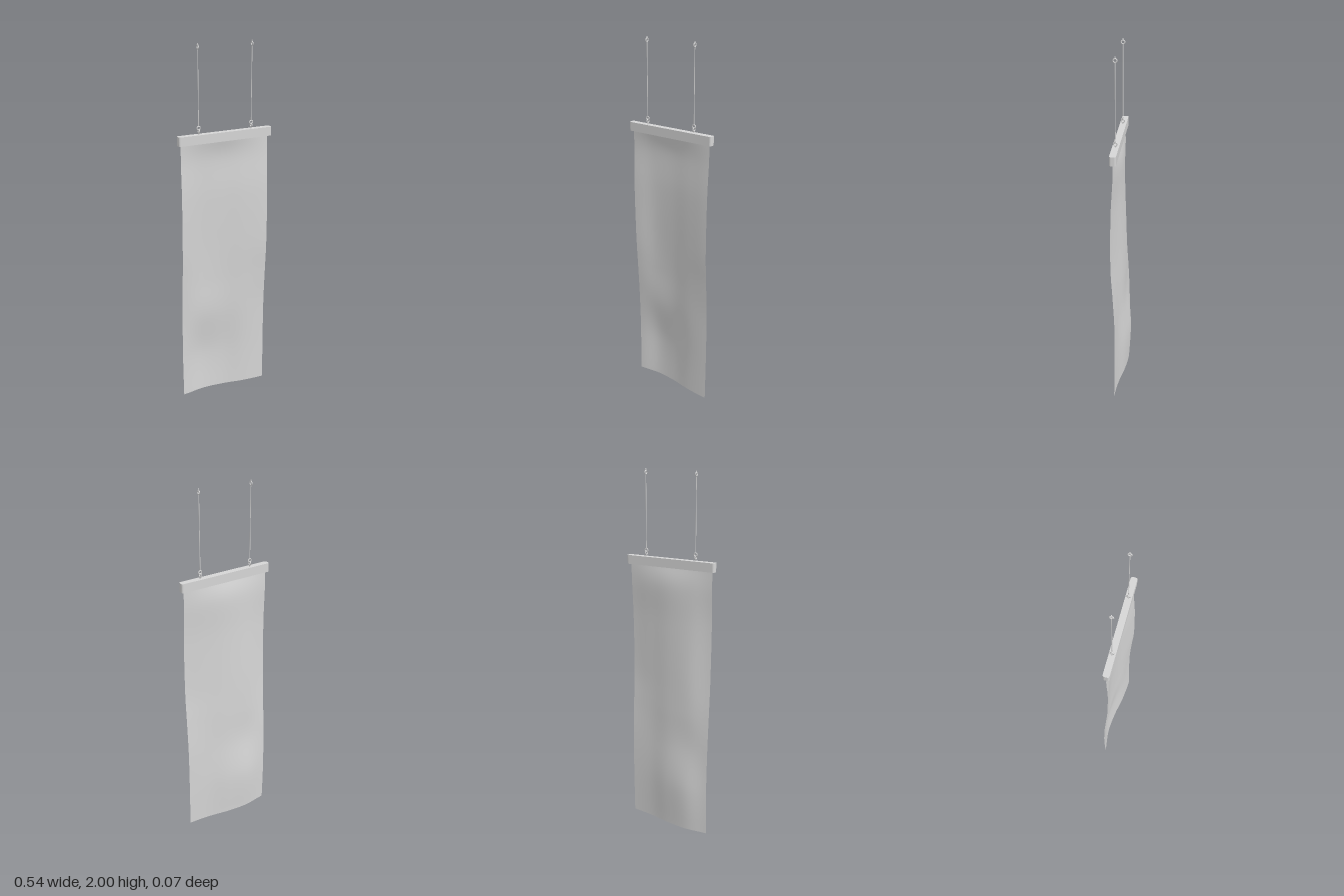
import * as THREE from 'three';

const BAR_Z = 0.017;

// Cloth cross-sections from top to bottom: height, then depth at five columns from x = -0.25 to 0.25
const ROWS = [
  [1.50, 0.017, 0.017, 0.017, 0.017, 0.017],
  [1.40, 0.014, 0.004, 0.001, 0.010, 0.020],
  [1.20, 0.019, 0.002, 0.003, 0.018, 0.031],
  [0.90, 0.013, -0.007, -0.002, 0.018, 0.034],
  [0.70, 0.002, -0.010, -0.006, 0.013, 0.024],
  [0.50, -0.009, -0.011, -0.008, 0.009, 0.015],
  [0.25, -0.015, -0.035, -0.023, 0.004, 0.015],
  [0.00, -0.010, -0.025, -0.015, 0.008, 0.019],
];

// Smooth curve through evenly spaced values
function spline(values, t) {
  const points = values.map((v, i) => new THREE.Vector2(i, v));
  return new THREE.SplineCurve(points).getPoint(t).y;
}

function clothGeometry() {
  const nx = 24, ny = 60;
  const geometry = new THREE.PlaneGeometry(0.504, 1.5, nx, ny);
  const pos = geometry.attributes.position;
  for (let j = 0; j <= ny; j++) {
    const t = j / ny;
    const y = Math.max(0, spline(ROWS.map((r) => r[0]), t));
    const columns = [1, 2, 3, 4, 5].map((c) => spline(ROWS.map((r) => r[c]), t));
    for (let i = 0; i <= nx; i++) {
      const k = j * (nx + 1) + i;
      pos.setXYZ(k, pos.getX(k) - 0.001, y, spline(columns, i / nx));
    }
  }
  geometry.computeVertexNormals();
  return geometry;
}

// Bar with rounded upright edges
function barGeometry(width, height, depth, r) {
  const w = width / 2, d = depth / 2;
  const s = new THREE.Shape();
  s.absarc(w - r, d - r, r, 0, Math.PI / 2);
  s.absarc(-w + r, d - r, r, Math.PI / 2, Math.PI);
  s.absarc(-w + r, -d + r, r, Math.PI, Math.PI * 1.5);
  s.absarc(w - r, -d + r, r, Math.PI * 1.5, Math.PI * 2);
  s.closePath();
  const g = new THREE.ExtrudeGeometry(s, { depth: height, bevelEnabled: false, curveSegments: 5 });
  return g.rotateX(-Math.PI / 2);
}

export function createModel() {
  const model = new THREE.Group();
  model.name = 'hangingBanner';
  const grey = new THREE.MeshStandardMaterial({ color: 0xd5d5d5, side: THREE.DoubleSide });
  grey.name = 'light grey';

  const add = (parent, name, geometry, x, y, z) => {
    const mesh = new THREE.Mesh(geometry, grey);
    mesh.name = name;
    mesh.position.set(x, y, z);
    parent.add(mesh);
    return mesh;
  };

  add(model, 'bannerCloth', clothGeometry(), 0, 0, 0);
  add(model, 'topBar', barGeometry(0.537, 0.048, 0.034, 0.01), 0, 1.496, BAR_Z);

  // Two cords, each linked to a screw eye on the bar and ending in a ring with a short pin
  const ring = new THREE.TorusGeometry(0.009, 0.003, 8, 20);
  const stem = new THREE.CylinderGeometry(0.003, 0.003, 0.012, 10);
  const cord = new THREE.CylinderGeometry(0.002, 0.002, 0.386, 8);
  for (const side of [-1, 1]) {
    const hanger = new THREE.Group();
    hanger.name = side > 0 ? 'leftHanger' : 'rightHanger';
    hanger.position.set(side * 0.152, 0, BAR_Z);
    add(hanger, 'eyeStem', stem, 0, 1.547, 0);
    add(hanger, 'screwEye', ring, 0, 1.562, 0).rotation.y = Math.PI / 2;
    add(hanger, 'lowerRing', ring, 0, 1.577, 0);
    add(hanger, 'cord', cord, 0, 1.78, 0);
    add(hanger, 'upperRing', ring, 0, 1.982, 0).rotation.y = Math.PI / 2;
    add(hanger, 'upperPin', stem, 0, 1.994, 0);
    model.add(hanger);
  }
  return model;
}
